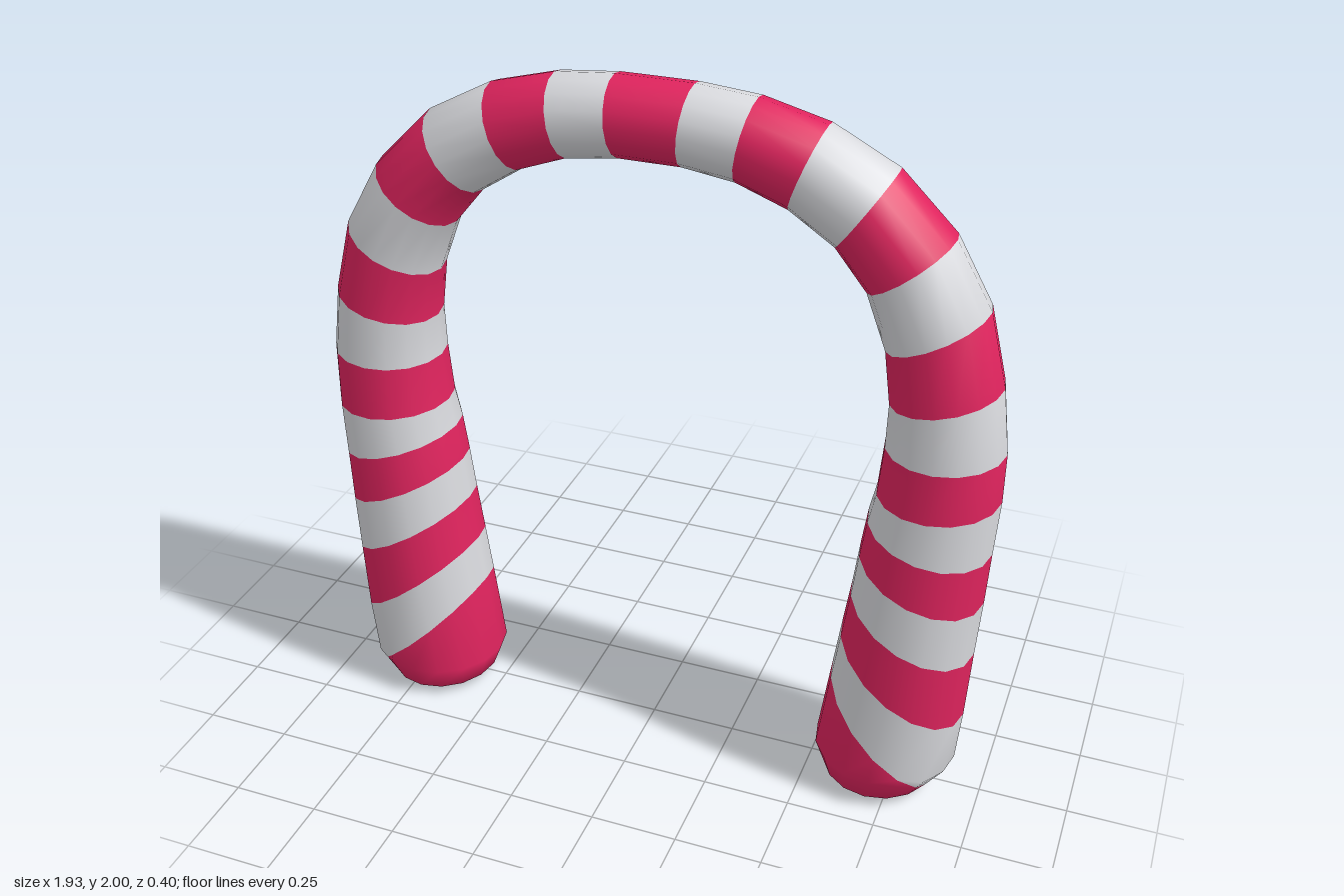
import * as THREE from 'three';
import { mergeVertices } from 'three/addons/utils/BufferGeometryUtils.js';

const SIDES = 16;

// Stripe edges from the crown to the foot: outer x, outer y, inner x, inner y, half depth
const CUTS = [
  [0.106, 2.0, 0.085, 1.785, 0.108], [0.27, 1.985, 0.227, 1.765, 0.111],
  [0.45, 1.938, 0.365, 1.714, 0.118], [0.63, 1.843, 0.487, 1.635, 0.128],
  [0.785, 1.69, 0.573, 1.53, 0.138], [0.887, 1.512, 0.63, 1.38, 0.147],
  [0.94, 1.307, 0.65, 1.235, 0.155], [0.965, 1.12, 0.647, 1.11, 0.164],
  [0.966, 0.975, 0.635, 0.965, 0.172], [0.957, 0.81, 0.617, 0.88, 0.181],
  [0.95, 0.65, 0.602, 0.77, 0.188], [0.94, 0.475, 0.587, 0.642, 0.195],
  [0.93, 0.26, 0.567, 0.5, 0.198],
];

// Rounded foot profile: y, outer x, inner x, half depth
const FOOT = [
  [0, 0.795, 0.593, 0.12], [0.03, 0.867, 0.54, 0.178],
  [0.1, 0.918, 0.513, 0.2], [0.5, 0.942, 0.567, 0.198],
];

function footPoint(a, y) {
  let i = 0;
  while (i < FOOT.length - 2 && y > FOOT[i + 1][0]) i++;
  const [p, q] = [FOOT[i], FOOT[i + 1]];
  const t = (y - p[0]) / (q[0] - p[0]);
  const [xo, xi, w] = [1, 2, 3].map((k) => p[k] + (q[k] - p[k]) * t);
  return [(xo + xi) / 2 + ((xo - xi) / 2) * Math.cos(a), y, w * Math.sin(a)];
}

// Rings of one half of the arch, crown to foot; each has the colour of the strip after it
function halfRings(side) {
  const rings = [];
  const add = (colour, point) => {
    const points = [];
    for (let i = 0; i < SIDES; i++) {
      const [x, y, z] = point((i / SIDES) * Math.PI * 2);
      points.push([x * side, y, z]);
    }
    rings.push({ points, colour });
  };
  CUTS.forEach(([xo, yOuter, xi, yi, w], k) => {
    // the stripes on the right leg hang slightly lower
    const yo = side < 0 && k > 7 ? yOuter - 0.028 : yOuter;
    add(k % 2, (a) => {
      const c = Math.cos(a);
      return [(xo + xi) / 2 + ((xo - xi) / 2) * c, (yo + yi) / 2 + ((yo - yi) / 2) * c, w * Math.sin(a)];
    });
  });
  // slanted edge of the foot colour, running across the rounded rim
  const slant = (a) => 0.188 - 0.168 * Math.cos(a);
  add(0, (a) => footPoint(a, Math.max(slant(a), 0.1)));
  add(0, (a) => footPoint(a, Math.max(slant(a), 0.03)));
  add(1, (a) => footPoint(a, slant(a)));
  add(1, (a) => footPoint(a, Math.min(slant(a), 0.1)));
  add(1, (a) => footPoint(a, Math.min(slant(a), 0.03)));
  add(1, (a) => footPoint(a, 0));
  add(1, () => [0.694, 0, 0]);
  return rings;
}

export function createModel() {
  const white = new THREE.MeshStandardMaterial({ color: 0xd9dade });
  white.name = 'white';
  const red = new THREE.MeshStandardMaterial({ color: 0xe0245e });
  red.name = 'red';

  // One tube from the left foot over the crown to the right foot
  const left = halfRings(1);
  const right = halfRings(-1);
  const rings = [...left.slice().reverse(), ...right];
  const geometry = new THREE.BufferGeometry();
  const index = [];
  for (let r = 0; r < rings.length - 1; r++) {
    const start = index.length;
    for (let i = 0; i < SIDES; i++) {
      const j = (i + 1) % SIDES;
      const p = r * SIDES + i, q = r * SIDES + j;
      index.push(p, p + SIDES, q, q, p + SIDES, q + SIDES);
    }
    // strip colour: the crown strip is red, the others follow their upper ring
    const colour = r === left.length - 1 ? 1 : r < left.length ? rings[r + 1].colour : rings[r].colour;
    geometry.addGroup(start, index.length - start, colour);
  }
  const positions = rings.flatMap((ring) => ring.points.flat());
  geometry.setAttribute('position', new THREE.Float32BufferAttribute(positions, 3));
  geometry.setIndex(index);

  const smooth = mergeVertices(geometry);
  smooth.computeVertexNormals();
  const arch = new THREE.Mesh(smooth, [white, red]);
  arch.name = 'stripedArch';

  const model = new THREE.Group();
  model.name = 'stripedArchModel';
  model.add(arch);
  return model;
}
